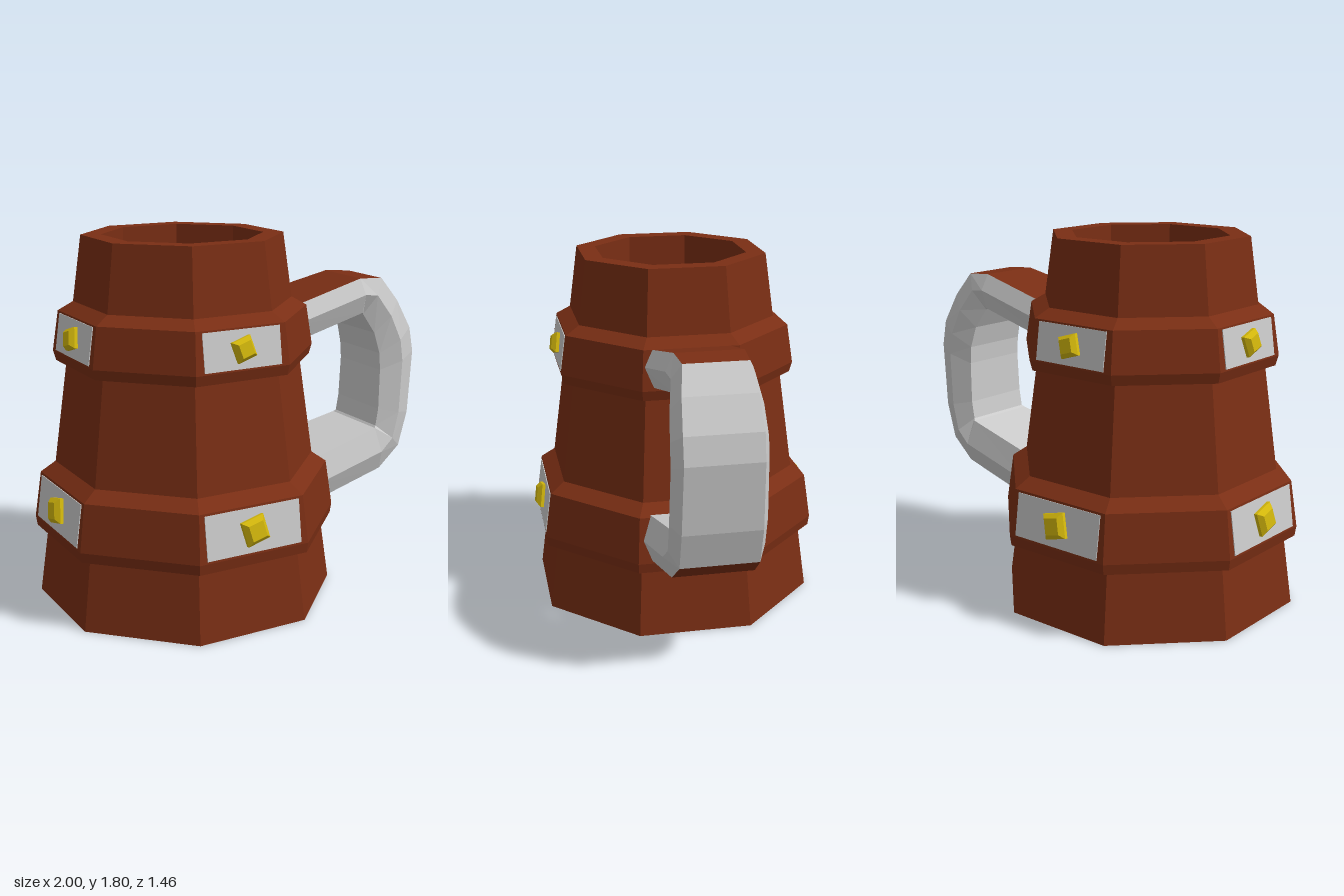
import * as THREE from 'three';

const CX = -0.275; // axis of the cup
const paint = (color) => new THREE.MeshStandardMaterial({ color, flatShading: true });
const wood = paint(0x7a2e14);
const grey = paint(0xcccccc);
const gold = paint(0xd4b80c);

function add(parent, name, geometry, material) {
  const mesh = new THREE.Mesh(geometry, material);
  mesh.name = name;
  parent.add(mesh);
  return mesh;
}

// Faceted ring with flats facing the axes; profile is [apothem, height], upwards on the outside
function faceted(profile, sides) {
  const k = 1 / Math.cos(Math.PI / sides);
  const points = profile.map(([r, y]) => new THREE.Vector2(r * k, y));
  return new THREE.LatheGeometry(points, sides, Math.PI / sides);
}

// Skin quads between hexagonal handle sections; pick(s, k) selects the faces
function handleGeometry(sections, pick) {
  const rings = sections.map(([ox, oy, ix, iy, w]) => {
    const mx = ox * 0.55 + ix * 0.45, my = oy * 0.55 + iy * 0.45, m = w + 0.04;
    return [[ox, oy, w], [mx, my, m], [ix, iy, w], [ix, iy, -w], [mx, my, -m], [ox, oy, -w]];
  });
  const position = [];
  for (let s = 0; s < rings.length - 1; s++) {
    for (let k = 0; k < 6; k++) {
      if (!pick(s, k)) continue;
      const n = (k + 1) % 6;
      const a = rings[s][k], b = rings[s][n], c = rings[s + 1][n], d = rings[s + 1][k];
      position.push(...a, ...b, ...c, ...a, ...c, ...d);
    }
  }
  const geometry = new THREE.BufferGeometry();
  geometry.setAttribute('position', new THREE.Float32BufferAttribute(position, 3));
  geometry.computeVertexNormals();
  return geometry;
}

export function createModel() {
  const model = new THREE.Group();
  model.name = 'tankard';

  const cup = new THREE.Group();
  cup.name = 'cup';
  cup.position.x = CX;
  model.add(cup);

  // Tapered body with rim and shallow hollow
  add(cup, 'body', faceted([
    [0, 0], [0.685, 0], [0.45, 1.8], [0.36, 1.8], [0.36, 1.63], [0, 1.63],
  ], 8), wood);

  // Bands: profile, plate size, stud size and turn
  const bands = [
    { name: 'lower', profile: [[0.62, 0.335], [0.69, 0.35], [0.697, 0.4], [0.665, 0.63], [0.585, 0.69]], plate: [0.5, 0.21], stud: 0.06, turn: 0.25 },
    { name: 'upper', profile: [[0.51, 1.185], [0.575, 1.195], [0.588, 1.245], [0.56, 1.44], [0.48, 1.49]], plate: [0.4, 0.18], stud: 0.05, turn: 0.3 },
  ];
  for (const { name, profile, plate, stud, turn } of bands) {
    add(cup, name + 'Band', faceted(profile, 8), wood);
    const [r0, y0] = profile[2], [r1, y1] = profile[3];

    // Plate and stud on the front, back and right faces
    for (const angle of [0, Math.PI, -Math.PI / 2]) {
      const side = new THREE.Group();
      side.name = name + 'Fitting';
      side.rotation.y = angle;
      cup.add(side);

      const mount = new THREE.Group();
      mount.name = name + 'Mount';
      mount.position.set(0, (y0 + y1) / 2, (r0 + r1) / 2);
      mount.rotation.x = -Math.atan2(r0 - r1, y1 - y0);
      side.add(mount);

      add(mount, 'plate', new THREE.BoxGeometry(plate[0], plate[1], 0.008), grey);
      const pin = new THREE.Group();
      pin.name = 'studMount';
      pin.rotation.z = turn;
      mount.add(pin);
      const mesh = add(pin, 'stud', faceted([
        [stud, -0.02], [stud, 0.02], [stud * 0.65, 0.042], [0, 0.042],
      ], 4), gold);
      mesh.rotation.x = Math.PI / 2;
    }
  }

  // Handle sections: outer x, y, inner x, y, half width
  const sections = [
    [0.2, 1.42, 0.2, 1.235, 0.195],
    [0.66, 1.53, 0.68, 1.35, 0.16],
    [0.8, 1.52, 0.69, 1.34, 0.15],
    [0.89, 1.4, 0.75, 1.24, 0.17],
    [0.97, 1.25, 0.78, 1.13, 0.18],
    [0.995, 1.12, 0.787, 1.04, 0.18],
    [0.97, 0.79, 0.78, 0.83, 0.185],
    [0.92, 0.61, 0.765, 0.74, 0.185],
    [0.79, 0.505, 0.755, 0.73, 0.195],
    [0.34, 0.395, 0.32, 0.625, 0.225],
  ];
  const isWood = (s, k) => k === 5 && (s < 2 || s > 6);
  add(model, 'handle', handleGeometry(sections, (s, k) => !isWood(s, k)), grey);
  add(model, 'handleWoodFaces', handleGeometry(sections, isWood), wood);

  return model;
}
